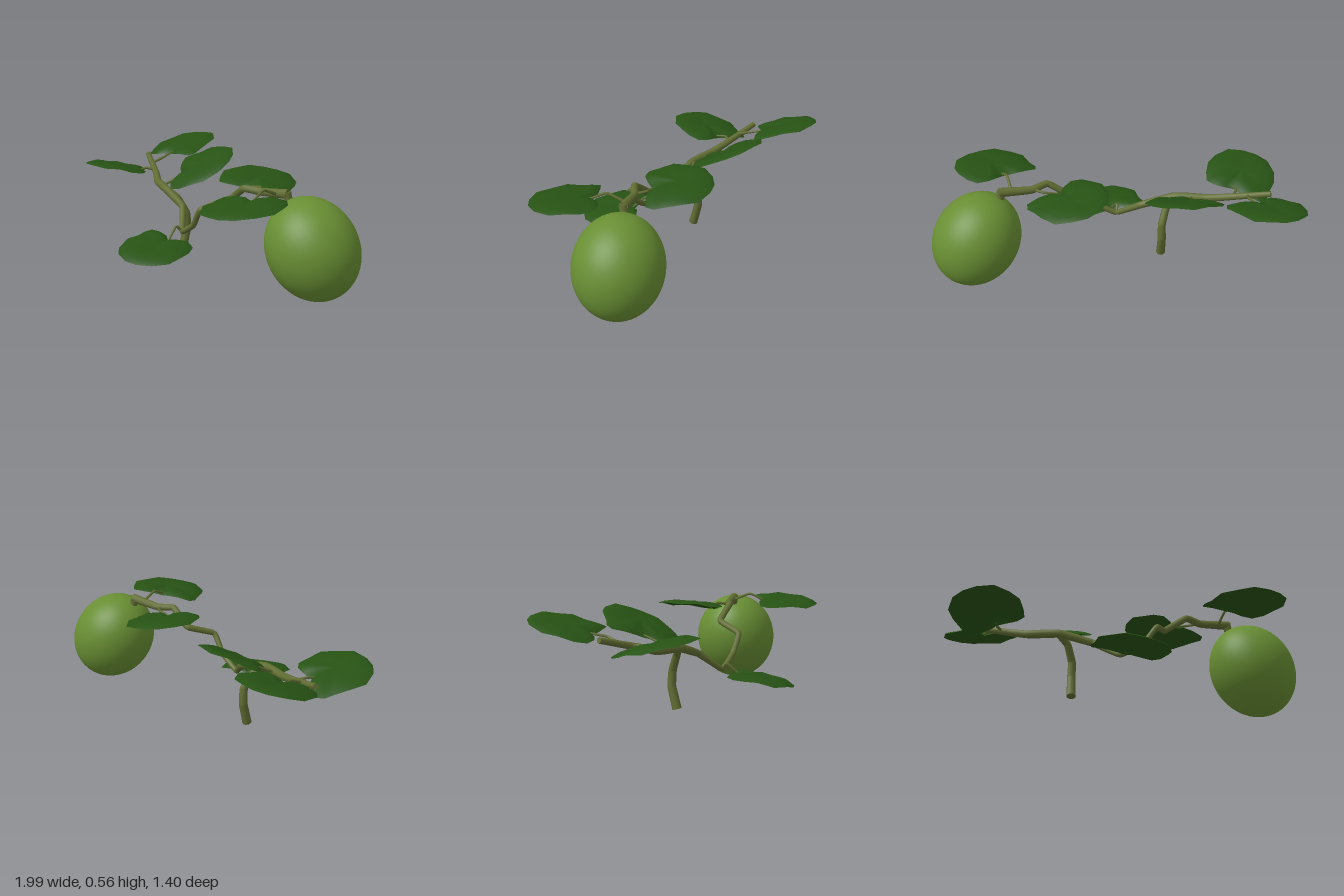
import * as THREE from 'three';

const V = (a) => new THREE.Vector3(...a);
const mat = (color) => new THREE.MeshStandardMaterial({ color, side: THREE.DoubleSide });
const fruitMat = mat(0x688e33), vineMat = mat(0x616d33), leafMat = mat(0x275214);

// Tapered tube with flat end caps; radii are spread evenly along the path
function stalk(name, points, radii, segments, sides = 10) {
  const group = new THREE.Group();
  group.name = name;
  const curve = new THREE.CatmullRomCurve3(points.map(V), false, 'catmullrom', 0.15);
  const radiusAt = (t) => {
    const f = t * (radii.length - 1), i = Math.min(Math.floor(f), radii.length - 2);
    return THREE.MathUtils.lerp(radii[i], radii[i + 1], f - i);
  };
  const geo = new THREE.TubeGeometry(curve, segments, 1, sides);
  const pos = geo.attributes.position, p = new THREE.Vector3();
  for (let i = 0; i < pos.count; i++) {
    const t = Math.floor(i / (sides + 1)) / segments;
    const c = curve.getPointAt(t);
    p.fromBufferAttribute(pos, i).sub(c).multiplyScalar(radiusAt(t)).add(c);
    pos.setXYZ(i, p.x, p.y, p.z);
  }
  group.add(new THREE.Mesh(geo, vineMat));
  for (const t of [0, 1]) {
    const cap = new THREE.Mesh(new THREE.CircleGeometry(radiusAt(t), sides), vineMat);
    cap.position.copy(curve.getPointAt(t));
    cap.lookAt(cap.position.clone().addScaledVector(curve.getTangentAt(t), t ? 1 : -1));
    group.add(cap);
  }
  group.children.forEach((m, i) => { m.name = i ? name + 'Cap' : name + 'Body'; });
  return group;
}

// Leaf outline: u across, v towards the tip, starting in the notch
const outline = [
  [0, -0.125], [0.05, -0.155], [0.11, -0.165], [0.18, -0.168], [0.203, -0.13], [0.198, -0.08],
  [0.207, 0], [0.183, 0.09], [0.12, 0.152], [0.04, 0.18], [-0.04, 0.178], [-0.13, 0.145],
  [-0.187, 0.07], [-0.205, -0.01], [-0.193, -0.08], [-0.168, -0.14], [-0.11, -0.162], [-0.05, -0.15],
];

// Maps leaf coordinates to space: ribs ripple, the midrib sinks, the rim droops
function leafPoint({ center, tip, slope, scale }, u, v, t) {
  const len = Math.hypot(...tip), dx = tip[0] / len, dz = tip[1] / len;
  const a = u * scale[0], b = v * scale[1];
  const x = -dz * a + dx * b, z = dx * a + dz * b;
  const ripple = 0.006 * t * Math.cos(6 * Math.atan2(u, v));
  const y = slope[0] * x + slope[1] * z + 0.007 - 0.026 * t ** 5 - ripple
    - 0.007 * Math.exp(-((u / 0.02) ** 2));
  return [center[0] + x, center[1] + y, center[2] + z];
}

function leafBlade(leaf) {
  const rings = [0.3, 0.6, 0.82, 0.94, 1], n = outline.length;
  const verts = [...leafPoint(leaf, 0, 0, 0)], index = [];
  rings.forEach((t, r) => outline.forEach(([u, v], i) => {
    verts.push(...leafPoint(leaf, u * t, v * t, t));
    const a = 1 + r * n + i, b = 1 + r * n + (i + 1) % n;
    if (r === 0) index.push(0, a, b);
    else index.push(a - n, a, b, a - n, b, b - n);
  }));
  const geo = new THREE.BufferGeometry();
  geo.setAttribute('position', new THREE.Float32BufferAttribute(verts, 3));
  geo.setIndex(index);
  geo.computeVertexNormals();
  const mesh = new THREE.Mesh(geo, leafMat);
  mesh.name = 'leafBlade';
  return mesh;
}

// Blade centre, tip direction (x, z), slopes along x and z, size, petiole start and bend
const leaves = [
  { center: [-0.7, 0.517, -0.512], tip: [-0.05, -1], slope: [0.12, -0.25], scale: [0.96, 1.04],
    from: [-0.72, 0.42, -0.23], bend: [-0.685, 0.45, -0.3] },
  { center: [-0.8, 0.442, -0.01], tip: [-0.7, 0.7], slope: [-0.02, 0.23], scale: [0.96, 1.05],
    from: [-0.65, 0.4, -0.18], bend: [-0.69, 0.41, -0.15] },
  { center: [-0.3, 0.484, -0.215], tip: [0.9, -0.35], slope: [0.2, -0.45], scale: [-0.98, 1],
    from: [-0.46, 0.36, -0.05], bend: [-0.42, 0.39, -0.1] },
  { center: [-0.117, 0.168, 0.42], tip: [-0.03, 1], slope: [-0.06, -0.17], scale: [0.97, 0.99],
    from: [-0.1, 0.2, 0.2], bend: [-0.12, 0.235, 0.23] },
  { center: [0.255, 0.53, -0.03], tip: [-0.25, -1], slope: [-0.14, -0.06], scale: [1, 1.06],
    from: [0.4, 0.51, 0.16], bend: [0.37, 0.515, 0.11] },
  { center: [0.55, 0.535, 0.5], tip: [0.25, 1], slope: [0.08, -0.06], scale: [1.04, 1.06],
    from: [0.53, 0.52, 0.19], bend: [0.52, 0.56, 0.29] },
];

export function createModel() {
  const model = new THREE.Group();
  model.name = 'fruitingVine';

  // Main vine from the left tip, down through the dip and up to the fruit
  model.add(stalk('vine', [
    [-0.82, 0.45, -0.31], [-0.62, 0.39, -0.16], [-0.53, 0.36, -0.08], [-0.38, 0.355, 0.01],
    [-0.2, 0.3, 0.08], [-0.1, 0.2, 0.2], [0.02, 0.27, 0.245], [0.09, 0.375, 0.27],
    [0.2, 0.43, 0.15], [0.32, 0.515, 0.19], [0.42, 0.51, 0.17], [0.6, 0.53, 0.185],
  ], [0.016, 0.019, 0.024, 0.022, 0.016, 0.016, 0.018, 0.02, 0.026], 110));

  // Cut stem reaching the ground
  model.add(stalk('stem', [
    [-0.29, 0.008, -0.02], [-0.28, 0.13, -0.05], [-0.28, 0.22, -0.045],
    [-0.32, 0.31, -0.015], [-0.39, 0.36, 0.005],
  ], [0.026, 0.024, 0.022, 0.02], 40));

  // Leaves with their petioles
  for (const leaf of leaves) {
    const group = new THREE.Group();
    group.name = 'leaf';
    const end = leafPoint(leaf, 0, -0.115, 0.9);
    group.add(leafBlade(leaf), stalk('petiole', [leaf.from, leaf.bend, end], [0.009, 0.006], 14, 6));
    model.add(group);
  }

  // Egg-shaped fruit hanging at a tilt, joined to the vine by a short stub
  const fruit = new THREE.Mesh(new THREE.SphereGeometry(1, 48, 32), fruitMat);
  fruit.name = 'fruit';
  fruit.scale.set(0.236, 0.275, 0.239);
  fruit.rotation.z = 0.61;
  fruit.position.set(0.75, 0.27, 0.18);
  model.add(fruit);
  model.add(stalk('fruitStub', [[0.59, 0.54, 0.185], [0.595, 0.51, 0.183], [0.61, 0.47, 0.18]], [0.022, 0.026], 6));

  return model;
}
